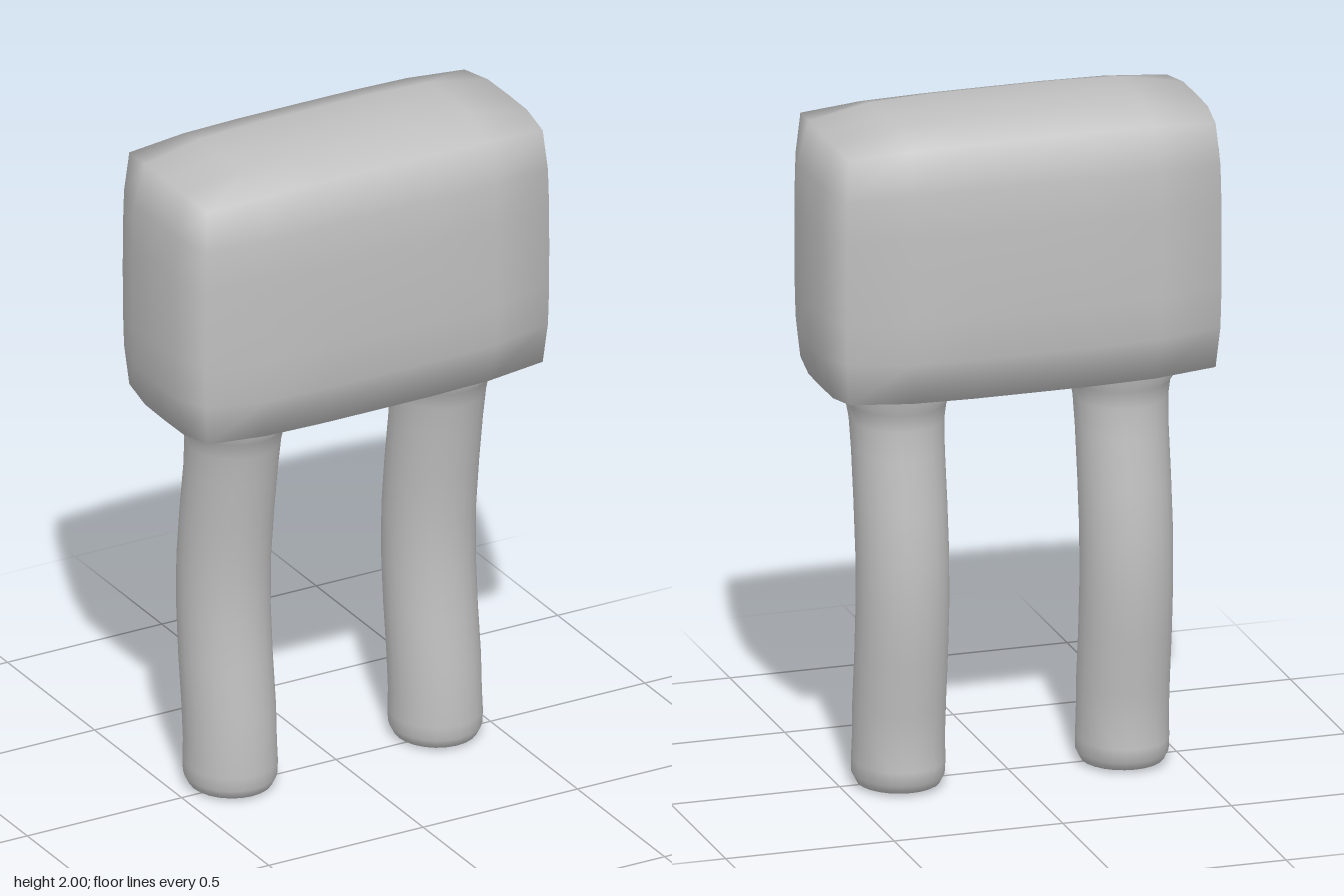
import * as THREE from 'three';
import { mergeVertices } from 'three/addons/utils/BufferGeometryUtils.js';

const grey = new THREE.MeshStandardMaterial({ color: 0xc0c0c0 });
grey.name = 'plain grey';

// Moves every vertex by a rule, then welds the seams for smooth shading.
function sculpt(geometry, rule) {
  geometry.deleteAttribute('normal');
  geometry.deleteAttribute('uv');
  const pos = geometry.attributes.position;
  const p = new THREE.Vector3();
  for (let i = 0; i < pos.count; i++) {
    rule(p.fromBufferAttribute(pos, i));
    pos.setXYZ(i, p.x, p.y, p.z);
  }
  const welded = mergeVertices(geometry, 1e-4);
  welded.computeVertexNormals();
  return welded;
}

// Softly bulging block: each face sinks toward its edges.
function makeBody() {
  const sink = (a, b) => {
    const p = a ** 4, q = b ** 4;
    return Math.max(p, q) + 0.35 * Math.min(p, q);
  };
  const geometry = sculpt(new THREE.BoxGeometry(2, 2, 2, 6, 6, 4), (p) => {
    const { x, y, z } = p;
    p.set(
      0.595 * x * (1 - 0.065 * sink(y, z)),
      1.58 + 0.42 * y * (1 - 0.1 * sink(x, z)),
      0.277 * z * (1 - 0.14 * sink(x, y))
    );
  });
  const body = new THREE.Mesh(geometry, grey);
  body.name = 'body';
  return body;
}

// Round leg with a rounded foot and flared hip, bowed backward at the knee.
function makeLeg(side) {
  const profile = [
    [0, 0.003], [0.09, 0.004], [0.118, 0.012], [0.132, 0.04], [0.133, 0.08],
    [0.131, 0.14], [0.132, 0.25], [0.132, 0.4], [0.132, 0.55], [0.132, 0.7],
    [0.132, 0.85], [0.132, 1.0], [0.135, 1.09], [0.143, 1.14], [0.165, 1.175], [0.17, 1.25],
  ].map(([r, y]) => new THREE.Vector2(r, y));

  const bow = new THREE.SplineCurve([
    [0, -0.018], [0.2, -0.024], [0.4, -0.046], [0.6, -0.06],
    [0.8, -0.047], [1.0, -0.016], [1.15, 0], [1.25, 0],
  ].map(([y, z]) => new THREE.Vector2(y, z)));
  const samples = bow.getPoints(80);
  const bowAt = (y) => samples.reduce((a, b) => (Math.abs(b.x - y) < Math.abs(a.x - y) ? b : a)).y;

  const geometry = sculpt(new THREE.LatheGeometry(profile, 24), (p) => {
    p.z = p.z * 1.05 + bowAt(p.y);
    // heel rim
    if (p.z < -0.1 && p.y > 0.03 && p.y < 0.1) p.z -= 0.008;
  });
  const leg = new THREE.Mesh(geometry, grey);
  leg.name = side > 0 ? 'leftLeg' : 'rightLeg';
  leg.position.x = side * 0.332;
  return leg;
}

export function createModel() {
  const model = new THREE.Group();
  model.name = 'blockWithLegs';
  model.add(makeBody(), makeLeg(1), makeLeg(-1));
  return model;
}
